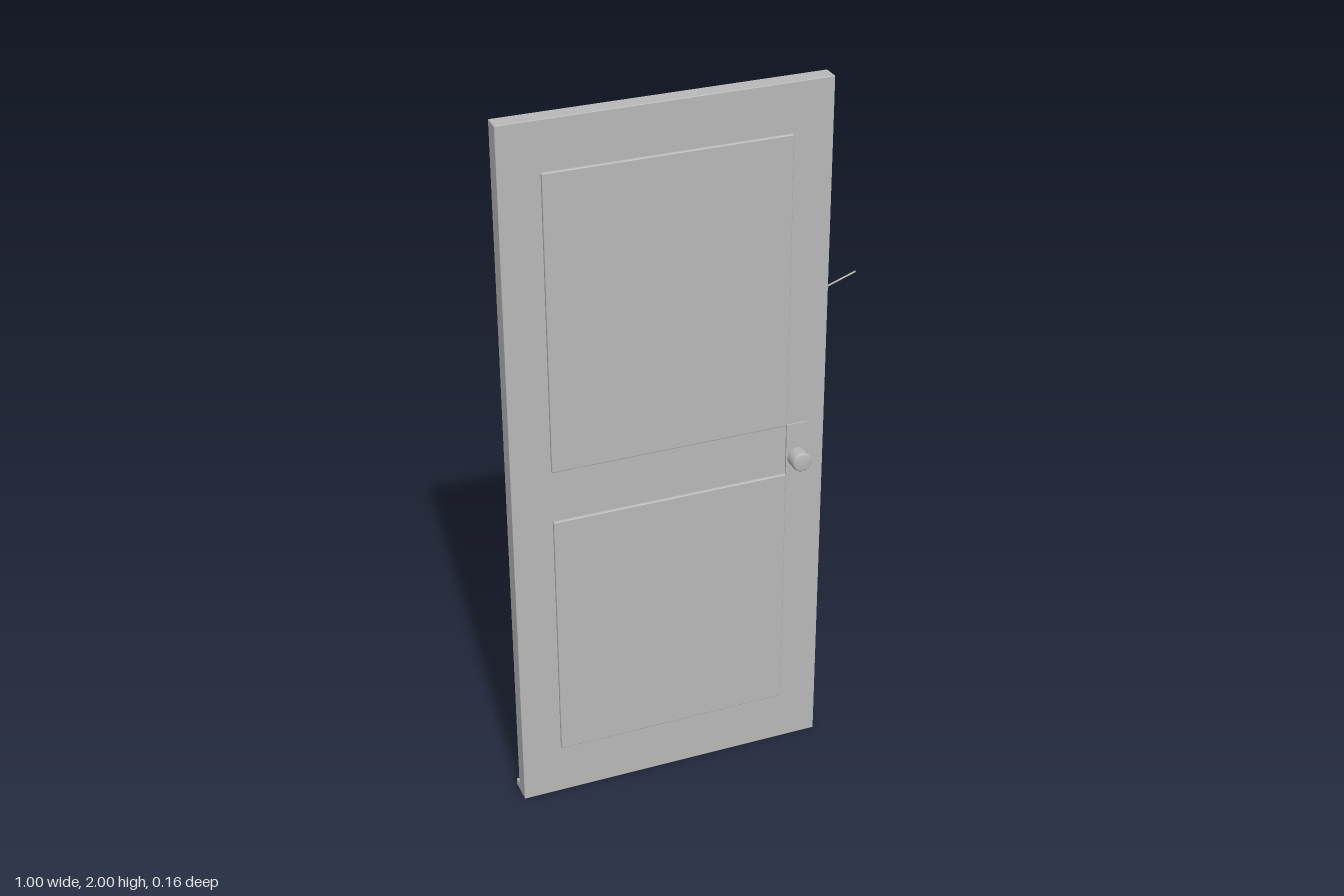
import * as THREE from 'three';
import { RoundedBoxGeometry } from 'three/addons/geometries/RoundedBoxGeometry.js';

export function createModel() {
  const group = new THREE.Group();
  const grey = new THREE.MeshStandardMaterial({ color: 0xb8b8b8 });
  grey.name = 'plain grey';

  const add = (name, geometry) => {
    const mesh = new THREE.Mesh(geometry, grey);
    mesh.name = name;
    group.add(mesh);
    return mesh;
  };
  // Box given by its extents on each axis, optionally with rounded edges
  const box = (name, [x0, x1], [y0, y1], [z0, z1], radius = 0) => {
    const size = [x1 - x0, y1 - y0, z1 - z0];
    const geometry = radius
      ? new RoundedBoxGeometry(...size, 3, radius)
      : new THREE.BoxGeometry(...size);
    add(name, geometry).position.set((x0 + x1) / 2, (y0 + y1) / 2, (z0 + z1) / 2);
  };

  const front = 0.028, back = -0.02;

  // Door leaf, raised front panels and the strip along the bottom of the back
  box('doorLeaf', [-0.5, 0.38], [0, 2], [back, front], 0.002);
  box('upperPanel', [-0.39, 0.27], [1.035, 1.865], [front - 0.01, 0.036], 0.003);
  box('lowerPanel', [-0.39, 0.27], [0.15, 0.885], [front - 0.01, 0.036], 0.003);
  box('bottomStrip', [-0.5, 0.38], [0, 0.021], [-0.043, back], 0.002);

  // Knobs with their plates on both faces
  const knobProfile = [[0, 0], [0.026, 0], [0.028, 0.004], [0.028, 0.034],
    [0.0265, 0.041], [0.022, 0.045], [0, 0.045]].map(([r, h]) => new THREE.Vector2(r, h));
  for (const side of [1, -1]) {
    const face = side > 0 ? front : back;
    const z = [face, face + side * 0.005].sort((a, b) => a - b);
    box(side > 0 ? 'frontKnobPlate' : 'backKnobPlate', [0.27, 0.33], [0.835, 1.035], z);
    const knob = add(side > 0 ? 'frontKnob' : 'backKnob', new THREE.LatheGeometry(knobProfile, 32));
    knob.rotation.x = side * Math.PI / 2;
    knob.position.set(0.301, 0.935, face + side * 0.003);
  }

  // Lock case and chain holder on the back
  box('lockCase', [0.26, 0.342], [1.17, 1.287], [-0.051, back], 0.01);
  box('chainHolder', [0.215, 0.335], [1.418, 1.44], [-0.053, back], 0.007);

  // Loose chain hanging past the edge of the door, in two straight lengths
  const points = [[0.31, 1.43, -0.051], [0.4, 1.357, -0.079], [0.497, 1.411, -0.051]]
    .map(p => new THREE.Vector3(...p));
  const chain = new THREE.CurvePath();
  for (let i = 0; i < 2; i++) chain.add(new THREE.LineCurve3(points[i], points[i + 1]));
  add('chain', new THREE.TubeGeometry(chain, 32, 0.0025, 8));

  // Peephole: a short ring around a recessed lens
  const ring = new THREE.Shape().absarc(0, 0, 0.012, 0, Math.PI * 2);
  ring.holes.push(new THREE.Path().absarc(0, 0, 0.006, 0, Math.PI * 2, true));
  const rim = add('peepholeRim', new THREE.ExtrudeGeometry(ring, {
    depth: 0.013, bevelEnabled: false, curveSegments: 16 }));
  rim.position.set(-0.06, 1.523, back - 0.013);
  const lens = add('peepholeLens', new THREE.CircleGeometry(0.007, 24));
  lens.rotation.y = Math.PI;
  lens.position.set(-0.06, 1.523, back - 0.006);

  return group;
}
